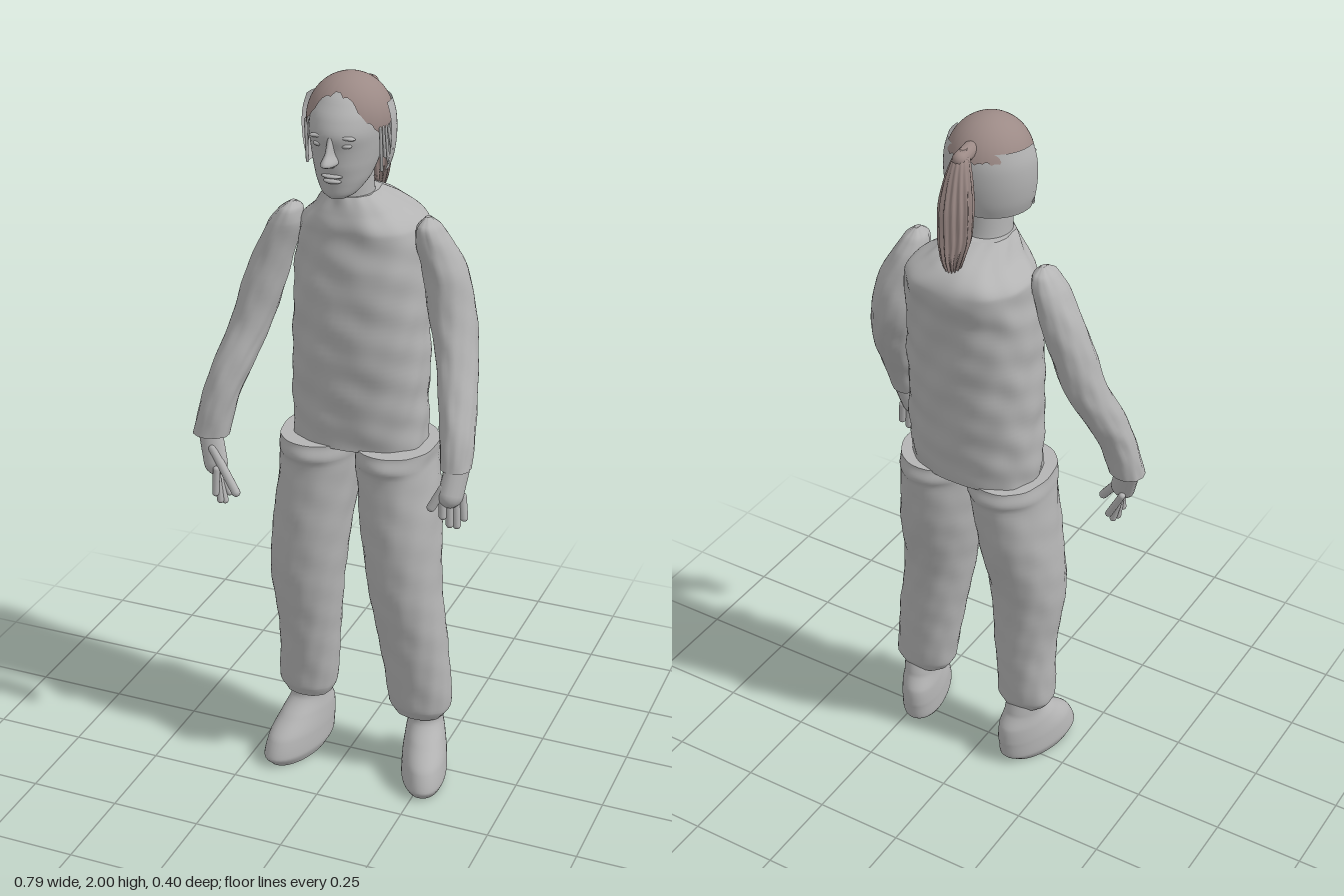
import * as THREE from 'three';

const grey = new THREE.MeshStandardMaterial({ color: 0xb4b4b4, side: THREE.DoubleSide });
grey.name = 'plain grey';
const brown = new THREE.MeshStandardMaterial({ color: 0x9c8a86, side: THREE.DoubleSide });
brown.name = 'hair brown';

// Closed-ring surface: fn(u, angle) gives a point, u runs from bottom to top
function ringSurface(rows, cols, fn, caps = true) {
  const pos = [], index = [];
  for (let i = 0; i <= rows; i++)
    for (let j = 0; j < cols; j++) pos.push(...fn(i / rows, (j / cols) * Math.PI * 2));
  for (let i = 0; i < rows; i++)
    for (let j = 0; j < cols; j++) {
      const k = (j + 1) % cols, a = i * cols + j, b = i * cols + k;
      index.push(a, b, b + cols, a, b + cols, a + cols);
    }
  if (caps) for (const row of [0, rows]) {
    const base = pos.length / 3, mid = [0, 0, 0];
    for (let j = 0; j < cols; j++) {
      const p = pos.slice((row * cols + j) * 3, (row * cols + j) * 3 + 3);
      p.forEach((v, n) => { mid[n] += v / cols; });
      pos.push(...p);
    }
    pos.push(...mid);
    for (let j = 0; j < cols; j++) {
      const k = (j + 1) % cols;
      index.push(base + cols, base + (row ? j : k), base + (row ? k : j));
    }
  }
  const g = new THREE.BufferGeometry();
  g.setAttribute('position', new THREE.Float32BufferAttribute(pos, 3));
  g.setIndex(index);
  g.computeVertexNormals();
  return g;
}

// Smooth loft through sections [y, centreX, centreZ, radiusX, radiusZ], listed bottom to top
function loft(sections, { power = 2, cols = 40, rows = 40, bump = () => 0 } = {}) {
  const mid = new THREE.CatmullRomCurve3(sections.map(s => new THREE.Vector3(s[1], s[0], s[2])));
  const rad = new THREE.CatmullRomCurve3(sections.map(s => new THREE.Vector3(s[3], s[4], 0)));
  const bend = v => Math.sign(v) * Math.abs(v) ** (2 / power);
  return ringSurface(rows, cols, (u, t) => {
    const c = mid.getPoint(u), r = rad.getPoint(u), b = bump(c.y, t);
    return [c.x + bend(Math.sin(t)) * (r.x + b), c.y, c.z + bend(Math.cos(t)) * (r.y + b)];
  });
}

const creases = size => (y, t) =>
  size * (Math.sin(y * 34 + 3 * Math.sin(t * 3)) * 0.6 + Math.sin(t * 7 + y * 21) * Math.sin(y * 47 - t * 4));

export function createModel() {
  const model = new THREE.Group();
  model.name = 'standingFigure';
  const add = (name, geometry, material = grey, parent = model) => {
    const m = new THREE.Mesh(geometry, material);
    m.name = name;
    parent.add(m);
    return m;
  };
  // Rounded rod between two points
  const rod = (name, a, b, r, flat = 1, parent = model, material = grey) => {
    const p = new THREE.Vector3(...a), q = new THREE.Vector3(...b), d = q.clone().sub(p);
    const m = add(name, new THREE.CapsuleGeometry(r, d.length(), 6, 14), material, parent);
    m.position.copy(p).add(q).multiplyScalar(0.5);
    m.quaternion.setFromUnitVectors(new THREE.Vector3(0, 1, 0), d.normalize());
    m.scale.x = flat;
    return m;
  };
  const blob = (name, p, s) => {
    const m = add(name, new THREE.SphereGeometry(1, 20, 14));
    m.position.set(...p);
    m.scale.set(...s);
    return m;
  };

  // Jacket body
  add('torso', loft([
    [1.0, 0.02, -0.022, 0.183, 0.124], [1.1, 0.02, -0.025, 0.184, 0.132], [1.3, 0.02, -0.027, 0.182, 0.142],
    [1.5, 0.02, -0.037, 0.175, 0.145], [1.6, 0.02, -0.05, 0.163, 0.15], [1.65, 0.014, -0.035, 0.108, 0.13],
    [1.695, 0.007, 0.003, 0.068, 0.078],
  ], { power: 2.3, cols: 72, rows: 80, bump: creases(0.003) }));

  // Sleeves
  add('rightArm', loft([
    [1.0, -0.35, 0.13, 0.05, 0.042], [1.1, -0.33, 0.11, 0.05, 0.05], [1.2, -0.302, 0.072, 0.055, 0.06],
    [1.3, -0.27, 0.03, 0.056, 0.06], [1.4, -0.243, 0.012, 0.058, 0.06], [1.5, -0.212, 0, 0.053, 0.058],
    [1.58, -0.18, 0, 0.045, 0.053], [1.62, -0.165, 0, 0.028, 0.04], [1.638, -0.16, 0, 0.006, 0.01],
  ], { bump: creases(0.0015) }));
  add('leftArm', loft([
    [1.03, 0.347, 0.142, 0.04, 0.042], [1.1, 0.341, 0.115, 0.045, 0.05], [1.2, 0.32, 0.06, 0.05, 0.06],
    [1.3, 0.297, 0.01, 0.055, 0.066], [1.4, 0.27, -0.02, 0.062, 0.07], [1.5, 0.25, -0.023, 0.058, 0.066],
    [1.58, 0.222, -0.01, 0.045, 0.055], [1.62, 0.213, 0, 0.03, 0.04], [1.643, 0.21, 0, 0.006, 0.01],
  ], { bump: creases(0.0015) }));

  // Hands with four fingers and a thumb
  const rightHand = new THREE.Group(), leftHand = new THREE.Group();
  rightHand.name = 'rightHand';
  leftHand.name = 'leftHand';
  model.add(rightHand, leftHand);
  rod('rightPalm', [-0.352, 1.0, 0.13], [-0.328, 0.925, 0.153], 0.034, 0.6, rightHand);
  rod('rightThumb', [-0.335, 0.965, 0.155], [-0.258, 0.86, 0.18], 0.012, 1, rightHand);
  rod('leftPalm', [0.352, 1.03, 0.145], [0.345, 0.965, 0.168], 0.036, 0.8, leftHand);
  rod('leftThumb', [0.328, 0.985, 0.18], [0.3, 0.93, 0.19], 0.012, 1, leftHand);
  for (let i = 0; i < 4; i++) {
    const len = [0.02, 0, 0.005, 0.03][i];
    rod('rightFinger', [-0.338 + i * 0.007, 0.915, 0.132 + i * 0.014],
      [-0.308 - (i - 1.5) * 0.008, 0.815 + len, 0.14 + i * 0.012], 0.0095, 1, rightHand);
    rod('leftFinger', [0.37 - i * 0.014, 0.955, 0.148 + i * 0.011],
      [0.378 - i * 0.016, 0.878 + len, 0.155 + i * 0.01], 0.0105, 1, leftHand);
  }

  // Trousers
  const legOptions = { power: 2.15, cols: 48, rows: 56, bump: creases(0.0015) };
  add('rightLeg', loft([
    [0.19, -0.12, 0.01, 0.066, 0.058], [0.22, -0.122, 0.01, 0.082, 0.07], [0.4, -0.115, 0.015, 0.086, 0.085],
    [0.6, -0.117, 0.02, 0.103, 0.105], [0.8, -0.1, 0, 0.106, 0.13], [0.95, -0.085, -0.01, 0.107, 0.135],
    [1.005, -0.083, -0.01, 0.107, 0.135],
  ], legOptions));
  add('leftLeg', loft([
    [0.19, 0.215, 0.01, 0.07, 0.058], [0.22, 0.215, 0.01, 0.088, 0.07], [0.4, 0.195, 0.015, 0.095, 0.085],
    [0.6, 0.167, 0.02, 0.1, 0.105], [0.8, 0.147, 0, 0.108, 0.13], [0.95, 0.132, -0.01, 0.107, 0.135],
    [1.005, 0.131, -0.01, 0.107, 0.135],
  ], legOptions));

  // Shoes, toes turned outwards
  const shoe = loft([
    [0, 0, 0.055, 0.054, 0.112], [0.03, 0, 0.05, 0.064, 0.138], [0.08, 0, 0.035, 0.062, 0.13],
    [0.13, 0, 0.007, 0.055, 0.098], [0.17, 0, -0.005, 0.048, 0.062], [0.22, 0, 0, 0.048, 0.05],
  ], { power: 2.1 });
  for (const [name, x, yaw] of [['rightShoe', -0.125, -0.26], ['leftShoe', 0.228, 0.3]]) {
    const m = add(name, shoe);
    m.position.x = x;
    m.rotation.y = yaw;
  }

  // Neck and head
  const cx = 0.007;
  add('neck', loft([
    [1.64, cx, 0.005, 0.068, 0.072], [1.7, cx, 0.015, 0.06, 0.066], [1.8, cx, 0.02, 0.058, 0.06],
  ]));
  add('head', loft([
    [1.703, cx, 0.1, 0.024, 0.026], [1.715, cx, 0.09, 0.044, 0.046], [1.75, cx, 0.062, 0.068, 0.08],
    [1.79, cx, 0.046, 0.081, 0.102], [1.83, cx, 0.042, 0.088, 0.108], [1.87, cx, 0.042, 0.092, 0.114],
    [1.91, cx, 0.032, 0.092, 0.108], [1.95, cx, 0.02, 0.076, 0.088], [1.98, cx, 0.018, 0.044, 0.05],
    [1.99, cx, 0.02, 0.008, 0.01],
  ]));
  add('nose', loft([
    [1.793, cx, 0.147, 0.01, 0.016], [1.806, cx, 0.15, 0.02, 0.047], [1.83, cx, 0.147, 0.011, 0.03],
    [1.868, cx, 0.145, 0.008, 0.012],
  ], { cols: 20, rows: 16 }));
  blob('upperLip', [cx, 1.767, 0.141], [0.028, 0.006, 0.013]);
  blob('lowerLip', [cx, 1.754, 0.138], [0.024, 0.007, 0.013]);
  blob('chin', [cx, 1.724, 0.119], [0.024, 0.018, 0.018]);
  for (const s of [-1, 1]) {
    blob('eye', [cx + s * 0.035, 1.847, 0.137], [0.016, 0.007, 0.011]);
    blob('brow', [cx + s * 0.036, 1.868, 0.139], [0.026, 0.006, 0.011]).rotation.z = -s * 0.08;
  }

  // Open band around the back of the head, with loose ends beside the face
  const bandProfile = [[0.104, 1.765], [0.115, 1.8], [0.121, 1.85], [0.119, 1.9], [0.108, 1.94]];
  const band = add('headBackBand', new THREE.LatheGeometry(
    new THREE.SplineCurve(bandProfile.map(p => new THREE.Vector2(...p))).getPoints(16),
    48, Math.PI * 0.46, Math.PI * 1.08));
  band.position.set(cx, 0, 0.032);
  for (const s of [-1, 1])
    for (let i = 0; i < 4; i++)
      rod('sideStrand', [cx + s * (0.1 + i * 0.002), 1.88, 0.07 - i * 0.012],
        [cx + s * (0.1 + i * 0.005), 1.77 + (i % 2) * 0.025 + i * 0.008, 0.06 - i * 0.01], 0.004);

  // Hair cap with a ragged hairline: high over the forehead, low at the temples
  const hairline = t => {
    const a = Math.abs(t > Math.PI ? t - Math.PI * 2 : t);
    const keys = [[0, 1.968], [0.4, 1.955], [0.75, 1.905], [1.1, 1.87], [1.45, 1.875], [1.75, 1.92], [3.2, 1.92]];
    const k = keys.findIndex((key, n) => n > 0 && a <= key[0]);
    const [a0, y0] = keys[k - 1], [a1, y1] = keys[k];
    return THREE.MathUtils.lerp(y0, y1, (a - a0) / (a1 - a0)) + 0.005 * Math.sin(t * 23) * Math.sin(t * 9);
  };
  add('hairCap', ringSurface(20, 96, (u, t) => {
    const phi = Math.acos((hairline(t) - 1.885) / 0.115) * (1 - u * 0.999);
    return [cx + 0.109 * Math.sin(phi) * Math.sin(t), 1.885 + 0.115 * Math.cos(phi),
      0.021 + 0.115 * Math.sin(phi) * Math.cos(t)];
  }, false), brown);

  // Ponytail: narrow root, then a ridged hanging tail
  rod('ponytailRoot', [0.008, 1.945, -0.07], [0.009, 1.937, -0.115], 0.02, 1, model, brown);
  add('ponytail', loft([
    [1.63, 0.012, -0.15, 0.008, 0.007], [1.68, 0.012, -0.15, 0.028, 0.022], [1.74, 0.011, -0.14, 0.042, 0.033],
    [1.81, 0.01, -0.134, 0.044, 0.036], [1.88, 0.009, -0.124, 0.036, 0.032], [1.935, 0.008, -0.112, 0.023, 0.023],
    [1.96, 0.008, -0.1, 0.008, 0.01],
  ], { cols: 84, bump: (y, t) => 0.0035 * Math.cos(t * 14 + y * 12) * Math.min(1, (1.97 - y) * 8) }), brown);

  return model;
}
